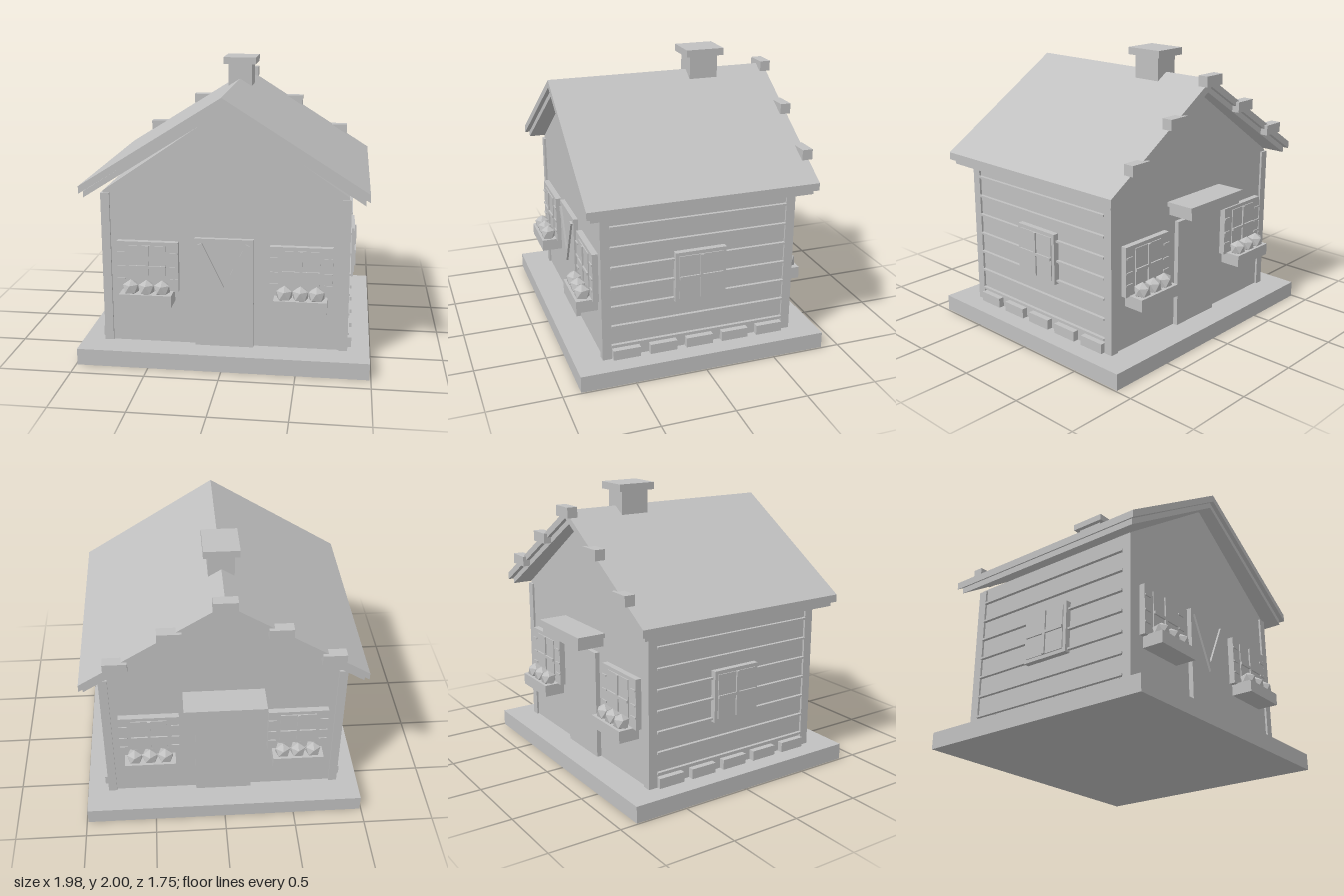
import * as THREE from 'three';

const grey = new THREE.MeshStandardMaterial({ name: 'plain grey', color: 0xc0c0c0, flatShading: true });

export function createModel() {
  const house = new THREE.Group();
  house.name = 'cottage';

  const add = (parent, name, geometry) => {
    const mesh = new THREE.Mesh(geometry, grey);
    mesh.name = name;
    parent.add(mesh);
    return mesh;
  };
  // Box given by its extents on each axis
  const box = (parent, name, x0, x1, y0, y1, z0, z1) => {
    const mesh = add(parent, name, new THREE.BoxGeometry(x1 - x0, y1 - y0, z1 - z0));
    mesh.position.set((x0 + x1) / 2, (y0 + y1) / 2, (z0 + z1) / 2);
    return mesh;
  };
  // Outline in x, y extruded evenly about z = 0
  const prism = (parent, name, points, depth) => {
    const shape = new THREE.Shape(points.map(([x, y]) => new THREE.Vector2(x, y)));
    const geometry = new THREE.ExtrudeGeometry(shape, { depth, bevelEnabled: false });
    return add(parent, name, geometry.translate(0, 0, -depth / 2));
  };
  const group = (name, parent = house) => {
    const g = new THREE.Group();
    g.name = name;
    parent.add(g);
    return g;
  };

  // Base and gabled walls
  box(house, 'base', -0.99, 0.99, 0, 0.115, -0.875, 0.875);
  prism(house, 'walls', [[-0.825, 0.11], [0.825, 0.11], [0.825, 1.185], [0, 1.75], [-0.825, 1.185]], 1.34);

  // Corner posts
  for (const x of [-0.81, 0.81])
    for (const z of [-0.653, 0.653])
      box(house, 'cornerPost', x - 0.03, x + 0.03, 0.115, 1.17, z - 0.032, z + 0.032);

  // Roof: upper slab over a slightly smaller lower slab
  const chevron = (half, top, eave, t) =>
    [[-half, eave - t], [0, top - t], [half, eave - t], [half, eave], [0, top], [-half, eave]];
  prism(house, 'roof', chevron(0.957, 1.842, 1.24, 0.052), 1.595);
  prism(house, 'roofLining', chevron(0.932, 1.792, 1.2, 0.043), 1.535);

  // Blocks along the back edge of the roof
  for (const [x, y] of [[0, 1.835], [0.355, 1.61], [-0.355, 1.61], [0.71, 1.385], [-0.71, 1.385]])
    box(house, 'roofBlock', x - 0.08, x + 0.08, y - 0.036, y + 0.036, -0.822, -0.748);

  // Chimney
  box(house, 'chimneyStack', -0.087, 0.087, 1.68, 1.95, -0.405, -0.2);
  box(house, 'chimneyCap', -0.12, 0.12, 1.95, 2, -0.44, -0.165);

  // Window panes and crossed bars, centred, facing +z
  const panes = (parent, w, h, z) => {
    box(parent, 'glass', -w / 2, w / 2, -h / 2, h / 2, z - 0.02, z + 0.005);
    box(parent, 'uprightBar', -0.01, 0.01, -h / 2, h / 2, z, z + 0.016);
    box(parent, 'crossBar', -w / 2, w / 2, -0.01, 0.01, z, z + 0.016);
  };

  // Side walls: plank strips, foundation stones and a window
  for (const s of [1, -1]) {
    const side = group(s > 0 ? 'leftSide' : 'rightSide');
    side.rotation.y = s * Math.PI / 2;
    for (let i = 0; i < 7; i++) {
      const y = 0.213 + i * 0.1425;
      box(side, 'plankStrip', -0.622, 0.622, y - 0.007, y + 0.007, 0.8, 0.848);
    }
    for (let i = -2; i <= 2; i++)
      box(side, 'foundationStone', i * 0.26 - 0.096, i * 0.26 + 0.096, 0.115, 0.185, 0.8, 0.866);
    const win = group('sideWindow', side);
    win.position.set(0, 0.655, 0);
    box(win, 'windowFrame', -0.18, 0.18, -0.18, 0.18, 0.81, 0.866);
    panes(win, 0.31, 0.31, 0.868);
  }

  // Low-poly flower with a vertex straight up
  const bloom = new THREE.IcosahedronGeometry(0.06, 0).rotateX(-Math.atan2((1 + Math.sqrt(5)) / 2, 1));

  // Front and back walls: door plus two shuttered windows with flower boxes
  for (const s of [1, -1]) {
    const face = group(s > 0 ? 'front' : 'back');
    if (s < 0) face.rotation.y = Math.PI;
    box(face, 'door', -0.2, 0.2, 0.115, 0.88, 0.64, 0.703);

    for (const x of [-0.52, 0.52]) {
      const win = group('window', face);
      win.position.set(x, 0.67, 0);
      box(win, 'shutterPanel', -0.21, 0.21, -0.172, 0.175, 0.64, 0.712);
      panes(win, 0.25, 0.3, 0.714);
      for (const sx of [-0.181, 0.181])
        for (const y of [-0.088, -0.005, 0.098])
          box(win, 'shutterSlat', sx - 0.028, sx + 0.028, y - 0.006, y + 0.006, 0.7, 0.72);
      box(win, 'flowerBox', -0.178, 0.178, -0.25, -0.166, 0.66, 0.82);
      for (const fx of [-0.107, 0, 0.107])
        add(win, 'flower', bloom).position.set(fx, -0.136, 0.76);
    }
  }

  // V trim on the front door
  const v = prism(house, 'doorTrim',
    [[-0.175, 0.84], [0, 0.48], [0.175, 0.84], [0.148, 0.852], [0, 0.545], [-0.148, 0.852]], 0.025);
  v.position.z = 0.705;

  // Canopy over the back door
  box(house, 'canopyTop', -0.28, 0.28, 1.003, 1.035, -0.875, -0.65);
  box(house, 'canopyBody', -0.26, 0.26, 0.94, 1.003, -0.865, -0.65);

  return house;
}
